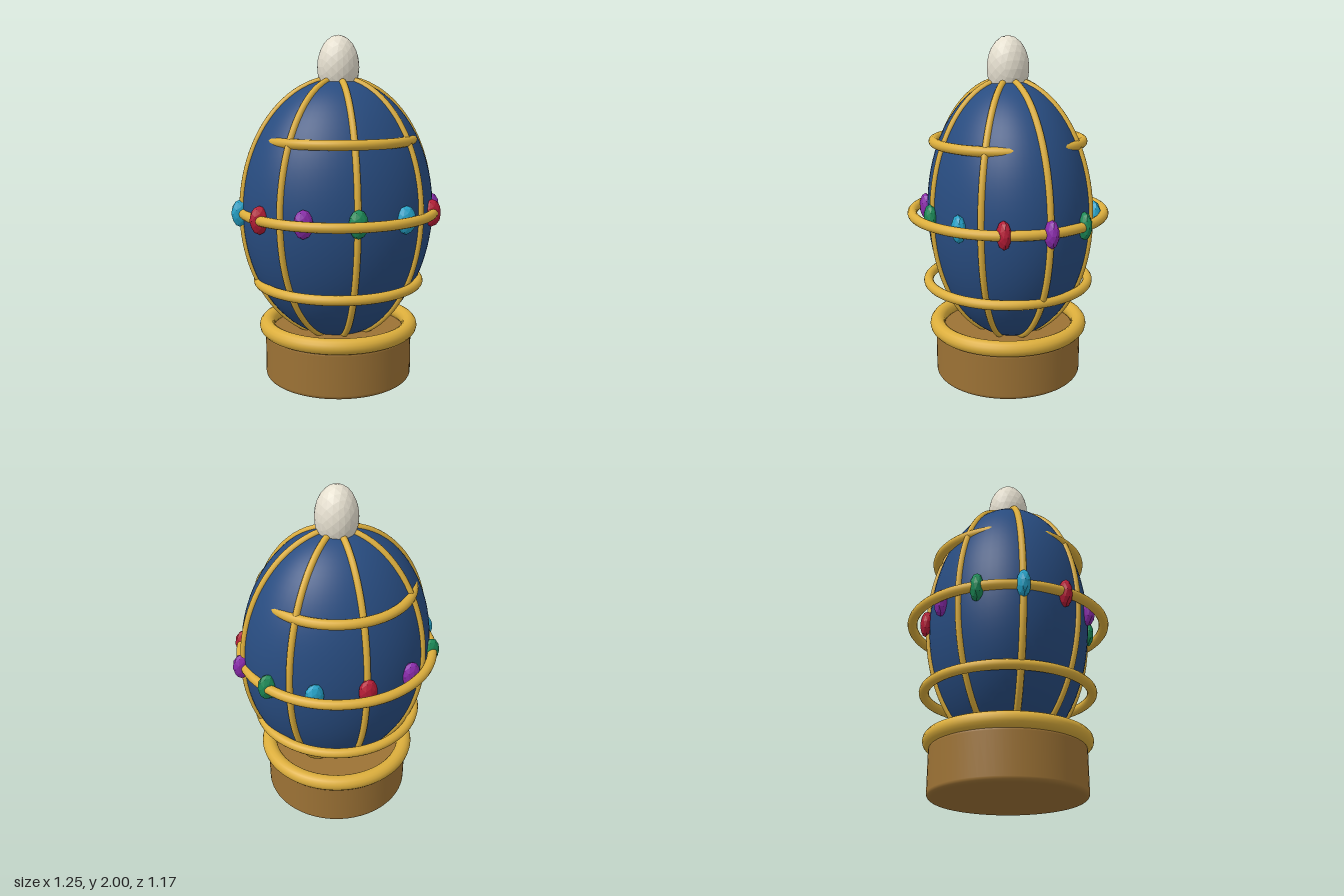
import * as THREE from 'three';

const mat = (color, flat = false) => new THREE.MeshStandardMaterial({ color, flatShading: flat });

export function createModel() {
  const model = new THREE.Group();
  const gold = mat(0xdcae3c);
  const add = (name, geometry, material, x = 0, y = 0, z = 0) => {
    const mesh = new THREE.Mesh(geometry, material);
    mesh.name = name;
    mesh.position.set(x, y, z);
    model.add(mesh);
    return mesh;
  };

  // Egg body: an ellipsoid, wider than it is deep
  const RX = 0.56, RY = 0.76, RZ = 0.46, CY = 1;
  add('eggShell', new THREE.SphereGeometry(1, 64, 40).scale(RX, RY, RZ), mat(0x284c80), 0, CY);

  // Round base with softened rims
  const base = new THREE.Shape();
  const R = 0.435, H = 0.28, b = 0.025;
  base.moveTo(0, 0).lineTo(R - b, 0);
  base.absarc(R - b, b, b, -Math.PI / 2, 0, false);
  base.lineTo(R, H - b);
  base.absarc(R - b, H - b, b, 0, Math.PI / 2, false);
  base.lineTo(0, H);
  add('base', new THREE.LatheGeometry(base.getPoints(5), 64), mat(0x9c7235));

  // Horizontal rings: base rim and three bands around the egg
  const ring = (name, radius, tube, y) =>
    add(name, new THREE.TorusGeometry(radius, tube, 14, 80).rotateX(Math.PI / 2), gold, 0, y);
  ring('baseRim', 0.425, 0.045, 0.31);
  ring('lowerBand', 0.473, 0.028, 0.586);
  ring('middleBand', 0.558, 0.028, 1);
  ring('upperBand', 0.426, 0.028, 1.414);

  // Ribs: four closed loops over the poles, giving eight meridians
  for (let i = 0; i < 4; i++) {
    const a = (i * Math.PI) / 4;
    const points = Array.from({ length: 40 }, (_, k) => {
      const t = (k / 40) * Math.PI * 2;
      return new THREE.Vector3(
        RX * Math.cos(a) * Math.sin(t), RY * Math.cos(t), RZ * Math.sin(a) * Math.sin(t));
    });
    const loop = new THREE.CatmullRomCurve3(points, true);
    add('rib' + (i + 1), new THREE.TubeGeometry(loop, 96, 0.019, 10, true), gold, 0, CY);
  }

  // Twelve faceted gems around the middle, in four repeating colours
  const gemMaterials = [0x8a2bab, 0xb51c36, 0x25a2c8, 0x1c8a58].map((c) => mat(c, true));
  const gem = new THREE.IcosahedronGeometry(1, 1).scale(0.055, 0.08, 0.038);
  for (let i = 0; i < 12; i++) {
    const a = (i * Math.PI) / 6;
    add('gem' + (i + 1), gem, gemMaterials[i % 4], 0.57 * Math.cos(a), CY, 0.475 * Math.sin(a));
  }

  // Pearl finial, faceted
  add('finial', new THREE.IcosahedronGeometry(1, 3).scale(0.12, 0.18, 0.12), mat(0xe6e0d0, true), 0, 1.82);

  return model;
}
